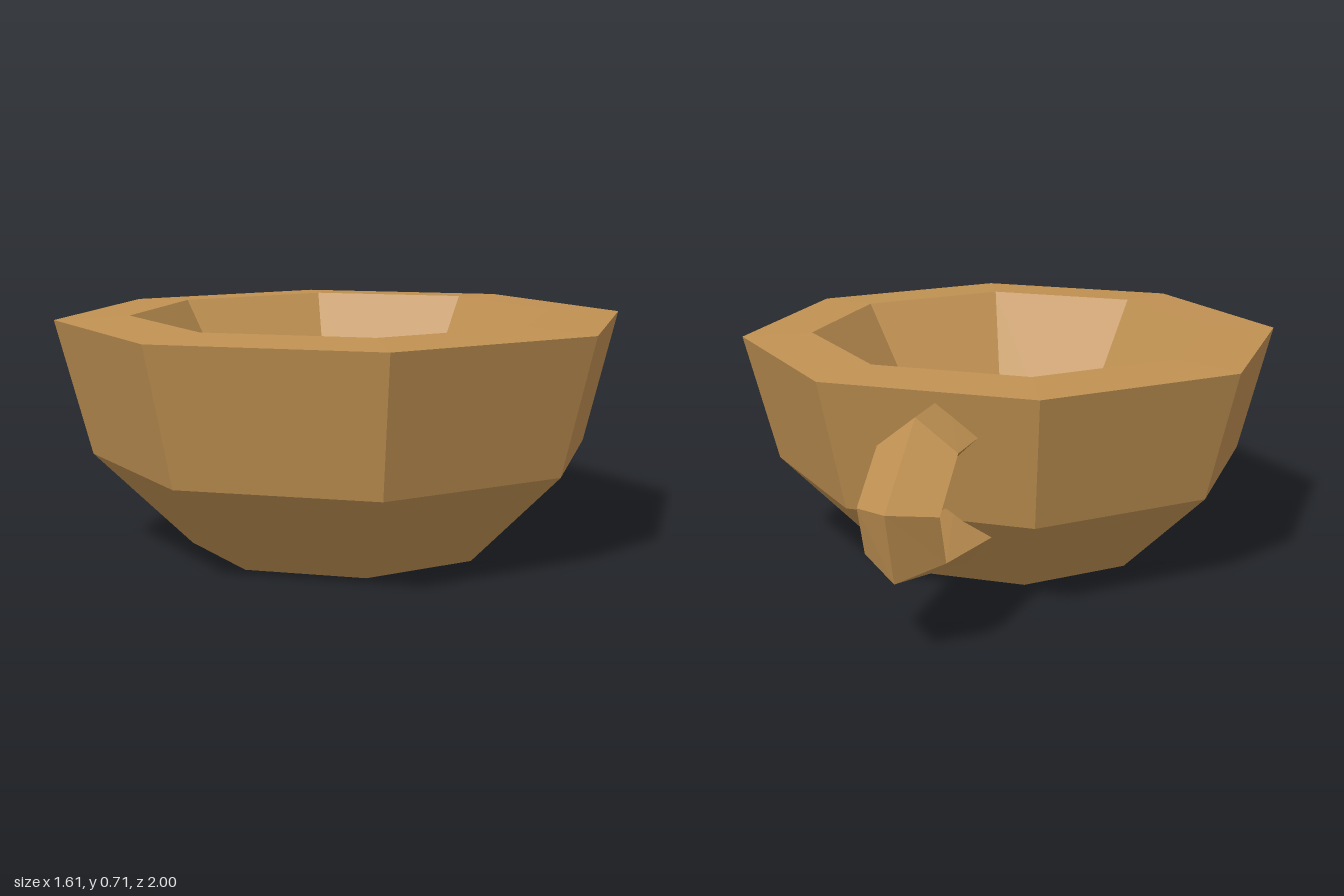
import * as THREE from 'three';

const clay = new THREE.MeshStandardMaterial({ color: 0xc09152 });
clay.name = 'clay brown';
clay.flatShading = true;

// Eight-sided bowl: profile of [flat-to-centre distance, height], outside up, then inside down
function makeBowl() {
  const profile = [[0, 0], [0.437, 0], [0.71, 0.29], [0.807, 0.7], [0.6, 0.71], [0.275, 0.14], [0, 0.13]];
  const points = profile.map(([d, y]) => new THREE.Vector2(d / Math.cos(Math.PI / 8), y));
  const bowl = new THREE.Mesh(new THREE.LatheGeometry(points, 8, Math.PI / 8), clay);
  bowl.name = 'bowl';
  bowl.position.z = 0.19;
  return bowl;
}

// Handle with a diamond section, swept from the rim out and back to the foot
function makeHandle() {
  // Each station: outer ridge, side edge, inner ridge as [z, y]
  const stations = [
    [[-0.5, 0.665], [-0.5, 0.565], [-0.5, 0.45]],
    [[-0.765, 0.665], [-0.753, 0.57], [-0.728, 0.455]],
    [[-1.0, 0.46], [-0.904, 0.437], [-0.77, 0.405]],
    [[-0.94, 0.245], [-0.856, 0.289], [-0.75, 0.355]],
    [[-0.25, 0.067], [-0.38, 0.214], [-0.45, 0.317]],
  ];
  const rings = stations.map(([outer, side, inner]) => [
    [-0.025, outer[1], outer[0]],
    [0.094, side[1], side[0]],
    [-0.025, inner[1], inner[0]],
    [-0.144, side[1], side[0]],
  ]);
  const positions = [];
  for (let s = 0; s < rings.length - 1; s++) {
    for (let i = 0; i < 4; i++) {
      const j = (i + 1) % 4;
      const a = rings[s][i], b = rings[s][j], c = rings[s + 1][j], d = rings[s + 1][i];
      positions.push(...a, ...b, ...d, ...b, ...c, ...d);
    }
  }
  const geometry = new THREE.BufferGeometry();
  geometry.setAttribute('position', new THREE.Float32BufferAttribute(positions, 3));
  geometry.computeVertexNormals();
  const handle = new THREE.Mesh(geometry, clay);
  handle.name = 'handle';
  return handle;
}

export function createModel() {
  const cup = new THREE.Group();
  cup.name = 'cup';
  cup.add(makeBowl(), makeHandle());
  return cup;
}
